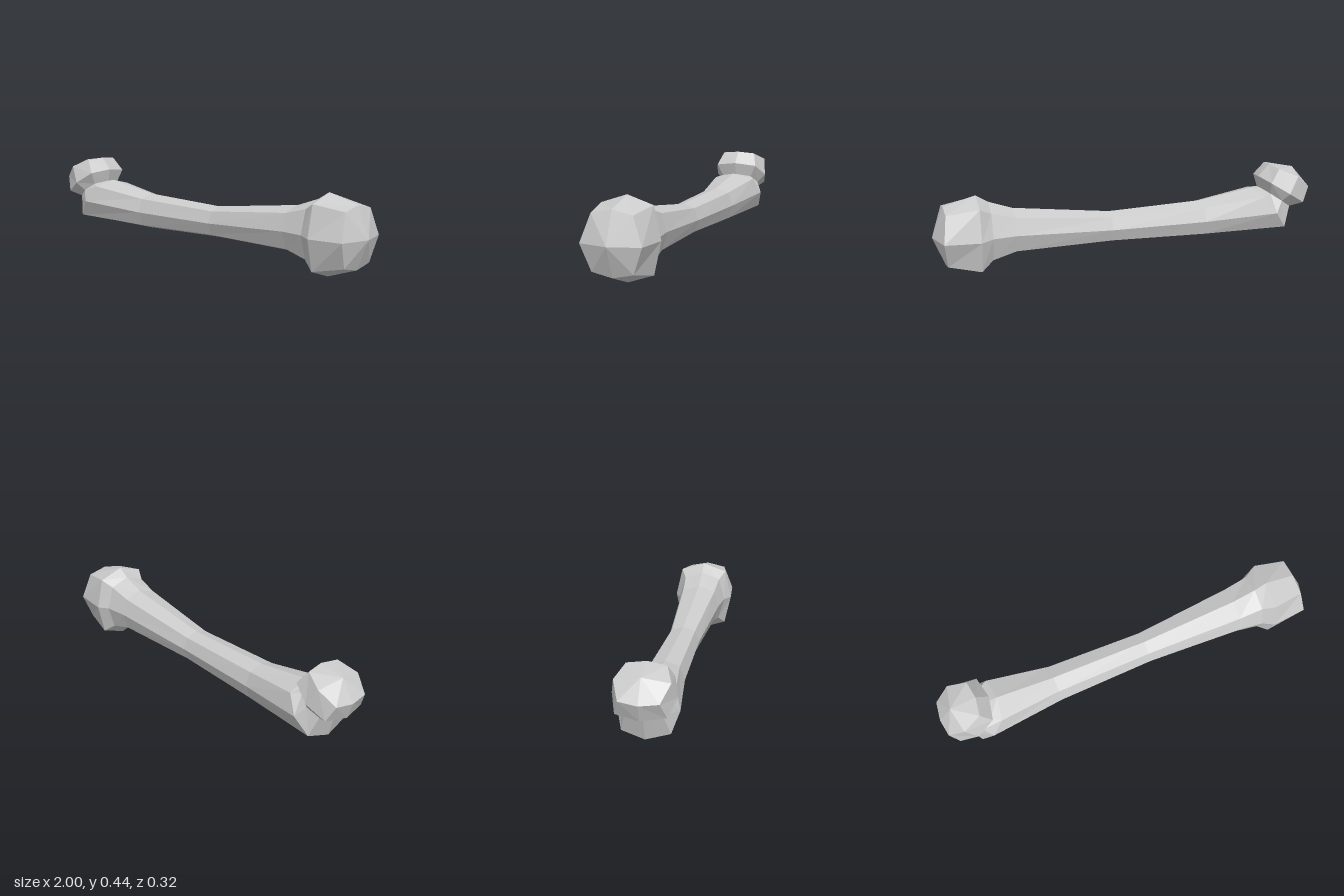
import * as THREE from 'three';

// One eight-sided section. The bottom and top points lie on the plane z = 0,
// the corners sit a fraction k in from them, and push bulges the side points
// outwards along x and y.
function ring(bottom, top, zSide, zCorner, k = 0.12, push = [0, 0]) {
  const at = (t, z, p = [0, 0]) => [
    bottom[0] + (top[0] - bottom[0]) * t + p[0],
    bottom[1] + (top[1] - bottom[1]) * t + p[1],
    z,
  ];
  return [
    at(0, 0), at(k, zCorner), at(0.5, zSide, push), at(1 - k, zCorner),
    at(1, 0), at(1 - k, -zCorner), at(0.5, -zSide, push), at(k, -zCorner),
  ];
}

// Skin a run of sections (ordered from -x to +x), with optional pointed ends.
function loft(name, rings, startTip, endTip) {
  const pos = [];
  const tri = (a, b, c) => pos.push(...a, ...b, ...c);
  for (let j = 0; j < 8; j++) {
    const n = (j + 1) % 8;
    for (let i = 0; i < rings.length - 1; i++) {
      const p = rings[i], q = rings[i + 1];
      tri(p[j], q[j], q[n]);
      tri(p[j], q[n], p[n]);
    }
    if (startTip) tri(startTip, rings[0][j], rings[0][n]);
    if (endTip) {
      const last = rings[rings.length - 1];
      tri(endTip, last[n], last[j]);
    }
  }
  const geometry = new THREE.BufferGeometry();
  geometry.setAttribute('position', new THREE.Float32BufferAttribute(pos, 3));
  geometry.computeVertexNormals();
  const mesh = new THREE.Mesh(
    geometry,
    new THREE.MeshStandardMaterial({ color: 0xcccccc, flatShading: true })
  );
  mesh.name = name;
  return mesh;
}

export function createModel() {
  const group = new THREE.Group();
  group.name = 'bone';

  // Sections shared by neighbouring parts
  const neck = ring([-0.9, 0.214], [-0.75, 0.315], 0.11, 0.085);
  const flare = ring([0.72, 0.05], [0.72, 0.36], 0.132, 0.098);

  // Tilted ball at the left end of the front view
  const ball = loft('ballHead', [
    ring([-1.0, 0.32], [-0.795, 0.442], 0.127, 0.092, 0.07, [-0.008, 0.013]),
    ring([-0.97, 0.235], [-0.735, 0.38], 0.148, 0.116, 0.1),
    neck,
  ], [-0.93, 0.422, 0]);

  // Long shaft, narrowest just past the middle
  const shaft = loft('shaft', [
    neck,
    ring([-0.865, 0.095], [-0.7, 0.322], 0.144, 0.113),
    ring([-0.4, 0.088], [-0.4, 0.275], 0.096, 0.072),
    ring([0.1, 0.1], [0.1, 0.258], 0.083, 0.062),
    ring([0.6, 0.092], [0.6, 0.318], 0.116, 0.09),
    flare,
  ]);

  // Wide knob at the right end
  const knob = loft('endKnob', [
    flare,
    ring([0.78, 0.0], [0.78, 0.397], 0.162, 0.127, 0.105),
    ring([0.94, 0.053], [0.94, 0.353], 0.148, 0.1, 0.07, [0.018, -0.003]),
  ], null, [1.0, 0.2, 0]);

  group.add(ball, shaft, knob);
  return group;
}
